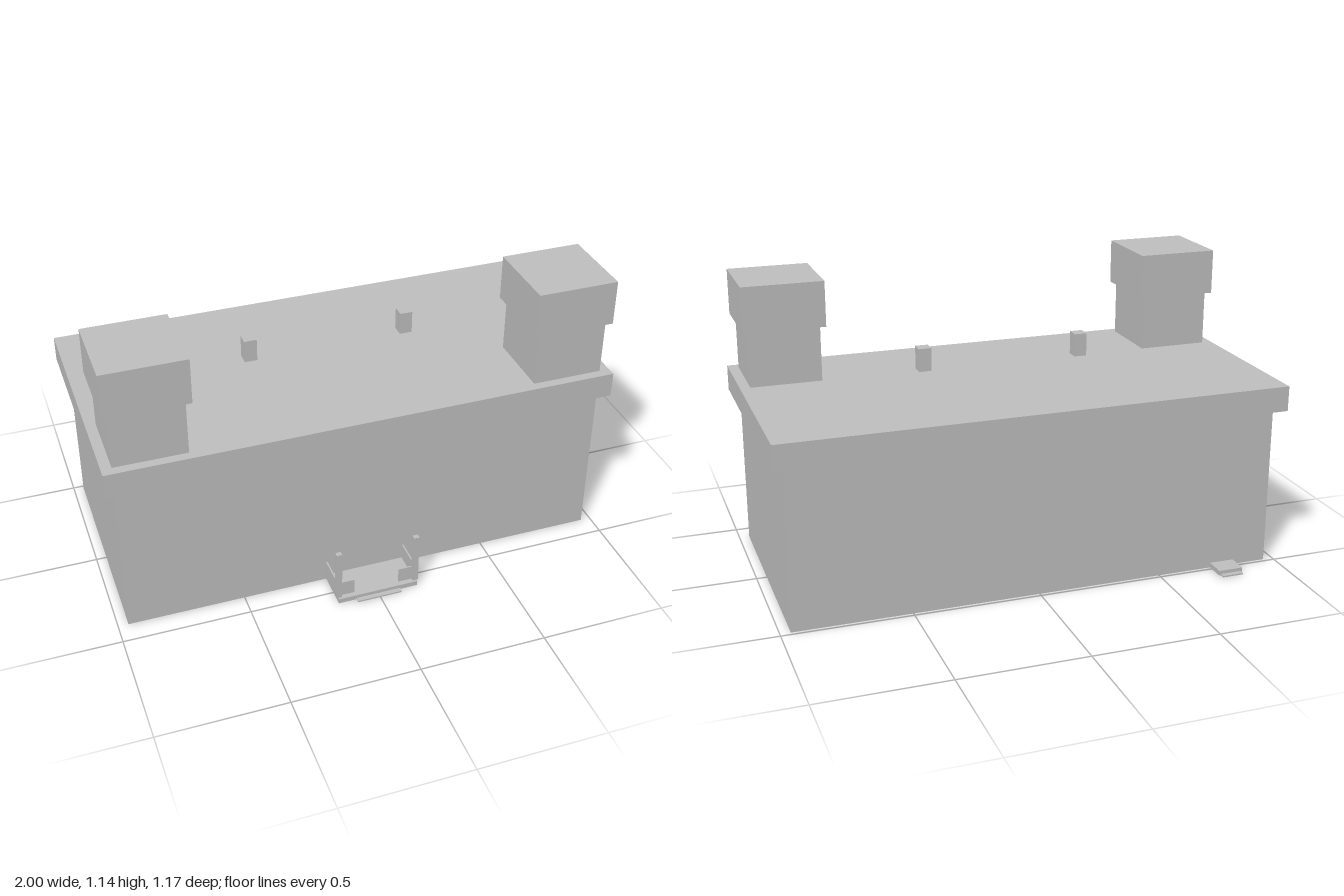
import * as THREE from 'three';

export function createModel() {
  const model = new THREE.Group();
  model.name = 'building';
  const stone = new THREE.MeshStandardMaterial({ color: 0xc0c0c0 });
  stone.name = 'plain grey';

  // Box given by its extents along each axis
  const box = (name, [x0, x1], [y0, y1], [z0, z1], parent = model) => {
    const mesh = new THREE.Mesh(new THREE.BoxGeometry(x1 - x0, y1 - y0, z1 - z0), stone);
    mesh.position.set((x0 + x1) / 2, (y0 + y1) / 2, (z0 + z1) / 2);
    mesh.name = name;
    parent.add(mesh);
  };
  // The same box on both sides of the centre line
  const pair = (name, [x0, x1], y, z, parent = model, centre = 0) => {
    box(name + 'Left', [centre + x0, centre + x1], y, z, parent);
    box(name + 'Right', [centre - x1, centre - x0], y, z, parent);
  };

  // Main block and overhanging roof slab
  box('body', [-0.96, 0.96], [0, 0.64], [-0.485, 0.413]);
  box('roof', [-1, 1], [0.64, 0.74], [-0.527, 0.45]);

  // Front corner towers with wider caps
  pair('tower', [0.68, 0.96], [0.74, 0.96], [0.13, 0.413]);
  pair('towerCap', [0.66, 0.98], [0.96, 1.14], [0.11, 0.432]);

  // Small blocks hovering above the roof
  pair('roofBlock', [0.295, 0.345], [0.797, 0.888], [-0.063, -0.012], model, -0.002);

  // Front porch: deck, step, posts and low railings
  const porch = new THREE.Group();
  porch.name = 'porch';
  model.add(porch);
  const c = -0.002;
  box('deck', [-0.165, 0.161], [0, 0.02], [0.413, 0.566], porch);
  box('frontStep', [-0.092, 0.088], [0, 0.006], [0.566, 0.585], porch);
  pair('post', [0.147, 0.169], [0.02, 0.232], [0.538, 0.557], porch, c);
  pair('sideRail', [0.157, 0.163], [0.02, 0.085], [0.413, 0.538], porch, c);
  pair('frontRail', [0.092, 0.147], [0.02, 0.082], [0.54, 0.545], porch, c);

  // Back door steps
  box('backStep', [-0.822, -0.722], [0, 0.02], [-0.565, -0.485]);
  box('backLowerStep', [-0.815, -0.729], [0, 0.006], [-0.585, -0.565]);

  return model;
}
